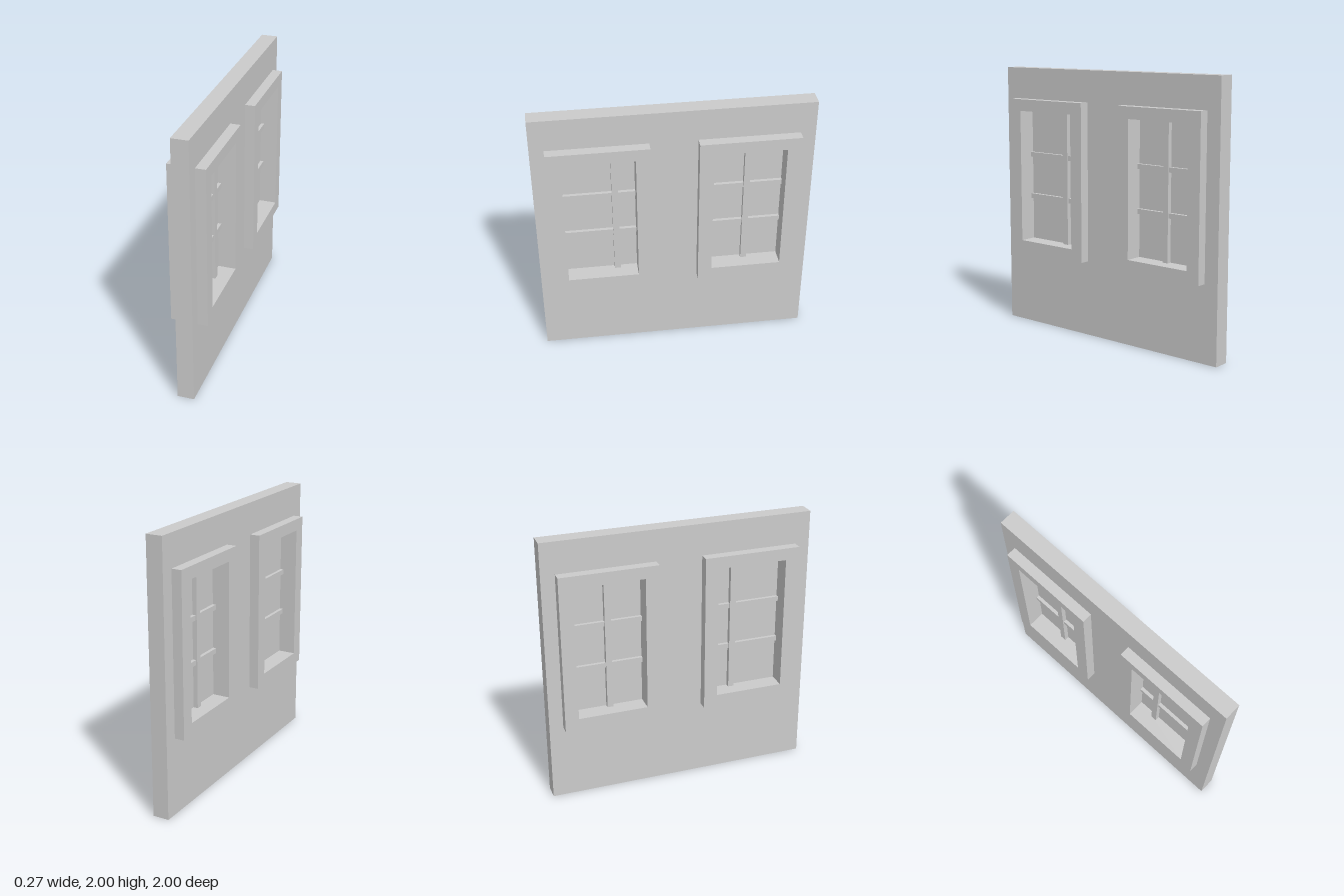
import * as THREE from 'three';

const material = new THREE.MeshStandardMaterial({ color: 0xcccccc, flatShading: true });

const Y0 = 0.573, Y1 = 1.764;            // outer frame height range
const OPEN_Y0 = 0.663, OPEN_Y1 = 1.675;  // opening height range
const FRAME_W = 0.723, OPEN_W = 0.519;   // outer and opening widths along z
const WALL_T = 0.122, FRAME_X = 0.135;

function rectPoints(z0, z1, y0, y1) {
  return [[z0, y0], [z1, y0], [z1, y1], [z0, y1]].map(([z, y]) => new THREE.Vector2(z, y));
}

// Plate lying in the z-y plane with rectangular holes, spanning x0..x1
function plate(name, outline, holes, x0, x1) {
  const shape = new THREE.Shape(outline);
  for (const h of holes) shape.holes.push(new THREE.Path(h));
  const geometry = new THREE.ExtrudeGeometry(shape, { depth: x1 - x0, bevelEnabled: false });
  geometry.rotateY(-Math.PI / 2);
  geometry.translate(x1, 0, 0);
  const mesh = new THREE.Mesh(geometry, material);
  mesh.name = name;
  return mesh;
}

function box(name, sx, sy, sz, x, y, z) {
  const mesh = new THREE.Mesh(new THREE.BoxGeometry(sx, sy, sz), material);
  mesh.name = name;
  mesh.position.set(x, y, z);
  return mesh;
}

export function createModel() {
  const model = new THREE.Group();
  model.name = 'wallWithWindows';

  const windows = [
    { name: 'frontWindow', z: 0.533, barZ: 0.424 },
    { name: 'rearWindow', z: -0.533, barZ: -0.531 },
  ];

  // Wall slab; its holes end inside the frames
  const holes = windows.map(({ z }) => rectPoints(z - 0.3, z + 0.3, 0.62, 1.72));
  model.add(plate('wall', rectPoints(-1, 1, 0, 2), holes, -WALL_T / 2, WALL_T / 2));

  for (const { name, z, barZ } of windows) {
    const group = new THREE.Group();
    group.name = name;

    // Frame halves on both faces of the wall, very slightly staggered
    for (const side of [1, -1]) {
      const c = z + side * 0.003;
      group.add(plate(
        side > 0 ? 'leftFrame' : 'rightFrame',
        rectPoints(c - FRAME_W / 2, c + FRAME_W / 2, Y0, Y1),
        [rectPoints(c - OPEN_W / 2, c + OPEN_W / 2, OPEN_Y0, OPEN_Y1)],
        side > 0 ? 0 : -FRAME_X, side > 0 ? FRAME_X : 0));
    }

    // Pane in the middle of the wall
    const midY = (OPEN_Y0 + OPEN_Y1) / 2, height = OPEN_Y1 - OPEN_Y0;
    group.add(box('pane', 0.006, height + 0.04, OPEN_W + 0.04, 0, midY, z));

    // Glazing bars
    group.add(box('verticalBar', 0.074, height + 0.02, 0.045, 0, midY, barZ));
    for (const y of [1.004, 1.33])
      group.add(box('horizontalBar', 0.056, 0.037, OPEN_W + 0.02, 0, y, z));

    model.add(group);
  }
  return model;
}
